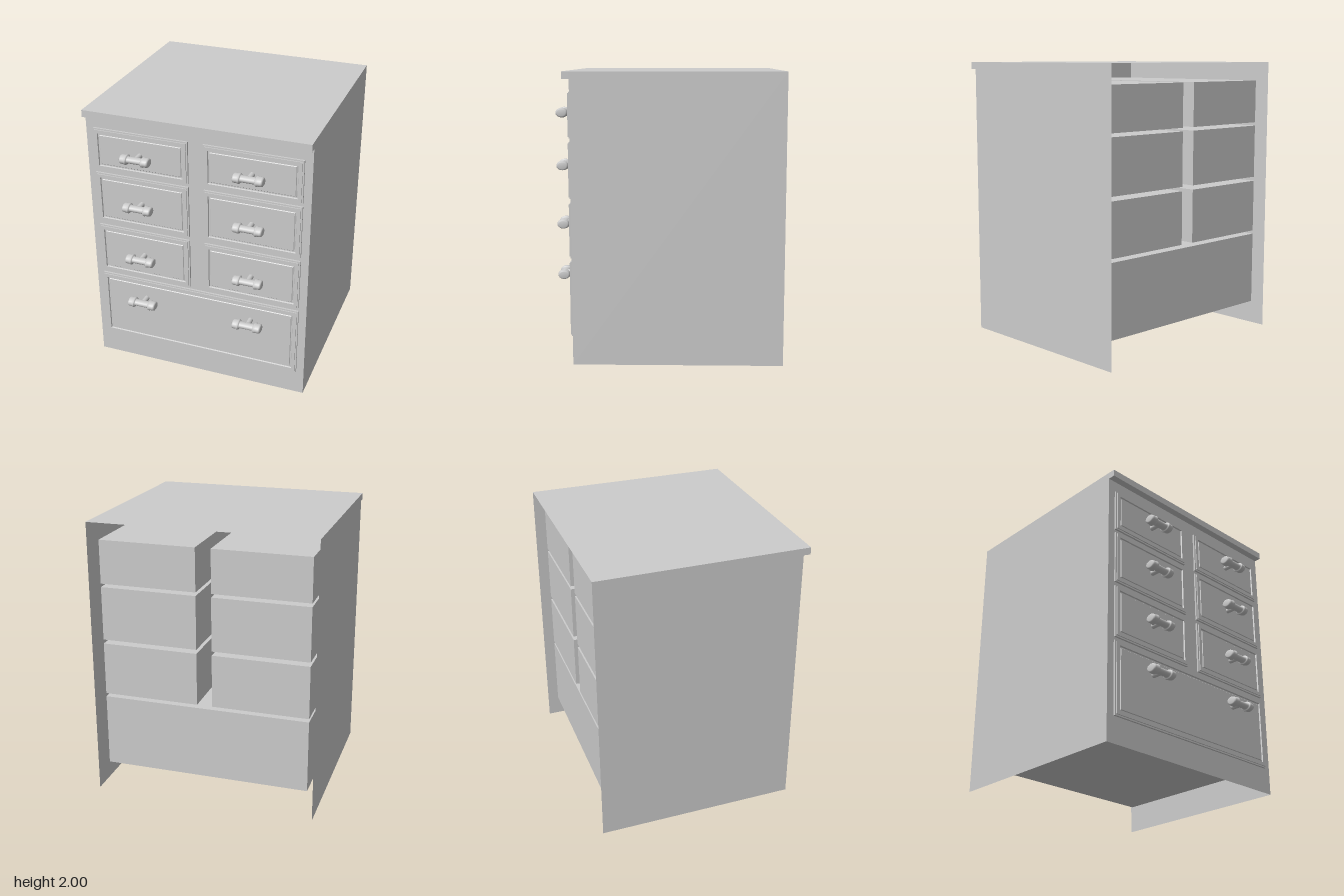
import * as THREE from 'three';

const X = 0.8, BACK = -0.79, FRONT = 0.65, LIP = 0.7;
const mat = new THREE.MeshStandardMaterial({ color: 0xcccccc });
const thin = new THREE.MeshStandardMaterial({ color: 0xcccccc, side: THREE.DoubleSide });

function add(parent, name, geo, material, x = 0, y = 0, z = 0) {
  const mesh = new THREE.Mesh(geo, material);
  mesh.name = name;
  mesh.position.set(x, y, z);
  parent.add(mesh);
  return mesh;
}

// Closed block whose front is stepped: rectangular rings joined by flat strips.
function drawerGeometry(w, h) {
  const rings = [
    [0, -0.72], [0, 0.664], [0.01, 0.664], [0.01, 0.672],
    [0.034, 0.672], [0.038, 0.663], [0.046, 0.663], [0.05, 0.668],
  ].map(([inset, z]) => {
    const a = w / 2 - inset, b = h / 2 - inset;
    return [[-a, -b, z], [a, -b, z], [a, b, z], [-a, b, z]];
  });
  const pos = [];
  const quad = (a, b, c, d) => pos.push(...a, ...b, ...c, ...a, ...c, ...d);
  for (let i = 0; i < rings.length - 1; i++) {
    for (let k = 0; k < 4; k++) {
      const n = (k + 1) % 4;
      quad(rings[i][k], rings[i][n], rings[i + 1][n], rings[i + 1][k]);
    }
  }
  quad(...rings[rings.length - 1]);
  quad(...[...rings[0]].reverse());
  const geo = new THREE.BufferGeometry();
  geo.setAttribute('position', new THREE.Float32BufferAttribute(pos, 3));
  geo.computeVertexNormals();
  return geo;
}

// Dumbbell-shaped pull, oval in section, on a single short post.
const half = [[0, 0.105], [0.022, 0.105], [0.029, 0.1], [0.031, 0.092], [0.031, 0.07],
  [0.034, 0.065], [0.034, 0.057], [0.03, 0.052], [0.022, 0.05]];
const profile = [...half.map(([r, y]) => [r, -y]), ...half.slice().reverse()]
  .map(([r, y]) => new THREE.Vector2(r, y));
const gripGeo = new THREE.LatheGeometry(profile, 20).rotateZ(Math.PI / 2).scale(1, 1, 1.32);
const postGeo = new THREE.CylinderGeometry(0.019, 0.019, 0.08, 14).rotateX(Math.PI / 2);

function addHandle(parent, x, y) {
  const handle = new THREE.Group();
  handle.name = 'handle';
  handle.position.set(x, y, 0);
  add(handle, 'grip', gripGeo, mat, 0, 0, 0.745);
  add(handle, 'post', postGeo, mat, 0, 0, 0.695);
  parent.add(handle);
}

export function createModel() {
  const group = new THREE.Group();
  group.name = 'chestOfDrawers';

  // Thin-walled case, open at the back and bottom
  const depth = FRONT - BACK;
  for (const s of [-1, 1]) {
    add(group, s > 0 ? 'leftSide' : 'rightSide',
      new THREE.PlaneGeometry(depth, 2).rotateY(s * Math.PI / 2), thin, s * X, 1, (FRONT + BACK) / 2);
  }
  add(group, 'frontFrame', new THREE.PlaneGeometry(2 * X, 2), thin, 0, 1, FRONT);
  add(group, 'top', new THREE.PlaneGeometry(2 * X, depth).rotateX(-Math.PI / 2), thin, 0, 2, (FRONT + BACK) / 2);
  add(group, 'topLip', new THREE.BoxGeometry(2 * X, 0.05, LIP - FRONT), mat, 0, 1.975, (LIP + FRONT) / 2);

  // Three rows of paired small drawers: bottom, top, handle height
  const rows = [[1.555, 1.865, 1.71], [1.145, 1.53, 1.34], [0.735, 1.115, 0.925]];
  for (const [y0, y1, hy] of rows) {
    const geo = drawerGeometry(0.69, y1 - y0);
    for (const s of [-1, 1]) {
      add(group, 'smallDrawer', geo, mat, s * 0.4, (y0 + y1) / 2);
      addHandle(group, s * 0.4, hy);
    }
  }

  // Wide bottom drawer with two handles
  add(group, 'wideDrawer', drawerGeometry(1.49, 0.525), mat, 0, 0.4475);
  for (const s of [-1, 1]) addHandle(group, s * 0.4, 0.56);

  return group;
}
